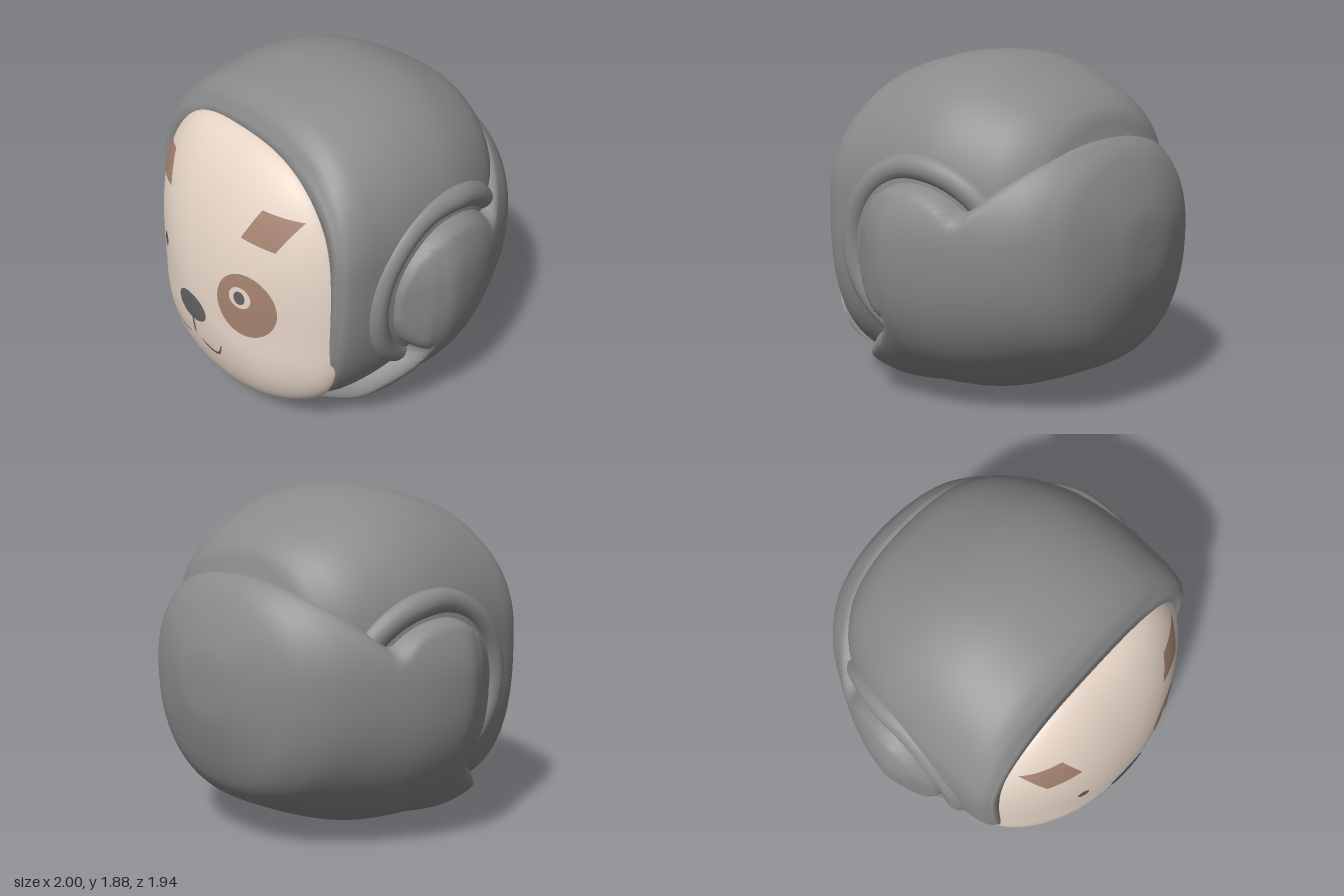
import * as THREE from 'three';
import { mergeVertices } from 'three/addons/utils/BufferGeometryUtils.js';

const { smoothstep, lerp, degToRad } = THREE.MathUtils;

const material = (name, color, side = THREE.FrontSide) => {
  const m = new THREE.MeshStandardMaterial({ color, side });
  m.name = name;
  return m;
};

// Smooth surface from a rule: i runs across the rings, j runs around each ring
function grid(n, m, rule) {
  const pos = [], index = [];
  for (let i = 0; i <= n; i++)
    for (let j = 0; j <= m; j++) pos.push(...rule(i / n, j / m));
  for (let i = 0; i < n; i++)
    for (let j = 0; j < m; j++) {
      const a = i * (m + 1) + j, b = a + 1, c = a + m + 1, d = c + 1;
      index.push(a, b, c, b, d, c);
    }
  let g = new THREE.BufferGeometry();
  g.setAttribute('position', new THREE.Float32BufferAttribute(pos, 3));
  g.setIndex(index);
  g = mergeVertices(g, 1e-5);
  g.computeVertexNormals();
  return g;
}

const spow = (v, p) => Math.sign(v) * Math.pow(Math.abs(v), p);

// Unit rounded-square point at turn t
function superPoint(t, pUp, pDown) {
  const c = Math.cos(t * Math.PI * 2), s = Math.sin(t * Math.PI * 2);
  const p = s > 0 ? pUp : pDown;
  return [spow(c, 2 / p), spow(s, 2 / p)];
}

// Loft along z through sections [z, halfWidth, top, bottom]
function loft(sections, cy, pUp, pDown, bend) {
  const zw = new THREE.SplineCurve(sections.map(s => new THREE.Vector2(s[0], s[1])));
  const tb = new THREE.SplineCurve(sections.map(s => new THREE.Vector2(s[2], s[3])));
  return grid((sections.length - 1) * 12, 160, (u, t) => {
    const a = zw.getPoint(u), h = tb.getPoint(u), [c, s] = superPoint(t, pUp, pDown(a.x));
    return bend(a.y * c, cy + s * (s > 0 ? h.x - cy : cy - h.y), a.x);
  });
}

// Face: height in z over its rounded outline
const FACE = { y: 0.7, w: 0.765, up: 0.945, down: 0.595, p: 2.75, rim: 0.6, depth: 0.365 };
function faceZ(x, y) {
  const u = x / FACE.w, v = (y - FACE.y) / (y > FACE.y ? FACE.up : FACE.down);
  const s = Math.min(1, (Math.abs(u) ** FACE.p + Math.abs(v) ** FACE.p) ** (1 / FACE.p));
  const w = v * v / (u * u + v * v + 1e-9);
  const e = 0.8 + ((v > 0 ? 0.6 : 0.3) - 0.8) * w;
  return FACE.rim + FACE.depth * Math.pow(Math.max(0, 1 - s * s), e);
}

// Painted patch following the face; outline(t) gives [x, y] anticlockwise
const patch = (cx, cy, outline, lift) => grid(8, 64, (u, t) => {
  const [ox, oy] = outline(t % 1), k = 1 - u;
  const x = cx + (ox - cx) * k, y = cy + (oy - cy) * k;
  return [x, y, faceZ(x, y) + lift];
});
const oval = (cx, cy, rx, ry, lift) => patch(cx, cy, t => {
  const a = t * Math.PI * 2;
  return [cx + rx * Math.cos(a), cy + ry * Math.sin(a)];
}, lift);
function quad(corners, lift) {
  const mid = k => corners.reduce((s, c) => s + c[k], 0) / 4;
  return patch(mid(0), mid(1), t => {
    const i = Math.floor(t * 4), f = t * 4 - i, a = corners[i], b = corners[(i + 1) % 4];
    return [a[0] + (b[0] - a[0]) * f, a[1] + (b[1] - a[1]) * f];
  }, lift);
}
// Thin painted line, tapered to both ends
function stroke(points, width, lift) {
  const curve = new THREE.SplineCurve(points.map(p => new THREE.Vector2(...p)));
  return grid(24, 1, (u, t) => {
    const p = curve.getPoint(u), d = curve.getTangent(u);
    const k = (t - 0.5) * width * (0.4 + 0.6 * Math.sin(u * Math.PI));
    const x = p.x - d.y * k, y = p.y + d.x * k;
    return [x, y, faceZ(x, y) + lift];
  });
}

// Side-on seam of the lower shell: a stepped line plus the round ear
const EAR = { z: -0.08, y: 0.85, r: 0.42 };
const SEAM = [[-0.8, 2.2], [-0.74, 1.5], [-0.42, 1.15], [0.16, 0.44], [0.55, 0.17], [0.7, 0.1]];
function seamY(z) {
  if (z <= SEAM[0][0]) return SEAM[0][1];
  for (let i = 1; i < SEAM.length; i++) {
    const [z0, y0] = SEAM[i - 1], [z1, y1] = SEAM[i];
    if (z <= z1) return y0 + (y1 - y0) * (z - z0) / (z1 - z0);
  }
  return 0.1;
}

export function createModel() {
  const model = new THREE.Group();
  const grey = material('grey', 0x8a8a8a);
  const darkGrey = material('darkGrey', 0x636363, THREE.DoubleSide);
  const cream = material('cream', 0xe6d5c7);
  const brown = material('brown', 0xa58270);
  const add = (name, geometry, mat) => {
    const mesh = new THREE.Mesh(geometry, mat);
    mesh.name = name;
    model.add(mesh);
  };

  // Hood, its front edge bowed forward at cheek height
  add('hood', loft([
    [-0.78, 0, 1.1, 1.1], [-0.77, 0.25, 1.3, 0.6], [-0.72, 0.42, 1.48, 0.4],
    [-0.66, 0.56, 1.61, 0.3], [-0.5, 0.71, 1.73, 0.2], [-0.2, 0.83, 1.86, 0.1],
    [0.1, 0.865, 1.89, 0.05], [0.4, 0.86, 1.83, 0.07], [0.52, 0.84, 1.765, 0.09],
    [0.57, 0.805, 1.69, 0.1], [0.585, 0.77, 1.63, 0.12], [0.56, 0.65, 1.5, 0.25],
    [0.5, 0, 1.1, 1.1],
  ], 1.1, 2.3, () => 2.9, (x, y, z) => {
    const bow = 0.05 * Math.max(0, 1 - ((y - 0.8) / 0.8) ** 2);
    return [x, y, z + bow * smoothstep(z, 0.3, 0.56)];
  }), grey);

  // Lower shell with round ears, tucked under the hood beyond its seam
  add('lowerShell', loft([
    [-0.965, 0, 0.92, 0.92], [-0.95, 0.2, 1.1, 0.7], [-0.87, 0.45, 1.32, 0.43],
    [-0.78, 0.6, 1.44, 0.28], [-0.62, 0.745, 1.52, 0.18], [-0.3, 0.925, 1.6, 0.05],
    [-0.04, 1, 1.62, 0.01], [0.1, 0.98, 1.6, 0.01], [0.2, 0.935, 1.58, 0.015],
    [0.3, 0.89, 1.55, 0.03], [0.45, 0.855, 1.5, 0.07], [0.57, 0.76, 1.4, 0.11],
    [0.61, 0.5, 1.2, 0.3], [0.6, 0, 0.92, 0.92],
  ], 0.92, 2.2, z => lerp(2.3, 3.6, smoothstep(z, 0, 0.4)), (x, y, z) => {
    const d = Math.min((y - seamY(z)) * 0.7, Math.hypot(z - EAR.z, y - EAR.y) - EAR.r);
    const m = smoothstep(d, -0.06, 0.06);
    return [x * (1 - 0.2 * m), 0.9 + (y - 0.9) * (1 - 0.08 * m), -0.1 + (z + 0.1) * (1 - 0.08 * m)];
  }), grey);

  // Raised rim around each ear
  for (const side of [1, -1]) {
    const points = [];
    for (let k = 0; k <= 20; k++) {
      const a = degToRad(150 - k * 10.4);
      const z = EAR.z + 0.475 * Math.cos(a), y = EAR.y + 0.475 * Math.sin(a);
      const width = 0.865 - 0.6 * Math.max(0, -0.1 - z) ** 1.5;
      const [v, p] = y > 1.1 ? [(y - 1.1) / 0.78, 2.3] : [(1.1 - y) / 1.04, 2.9];
      const x = width * Math.pow(1 - v ** p, 1 / p) - 0.042;
      points.push(new THREE.Vector3(side * x, y, z));
    }
    add(side > 0 ? 'leftEarRim' : 'rightEarRim',
      new THREE.TubeGeometry(new THREE.CatmullRomCurve3(points), 80, 0.072, 20), grey);
  }

  // Face
  add('face', grid(48, 128, (u, t) => {
    const [c, s] = superPoint(t, FACE.p, FACE.p), k = Math.sin((1 - u) * Math.PI / 2);
    const x = FACE.w * c * k, y = FACE.y + (s > 0 ? FACE.up : FACE.down) * s * k;
    return [x, y, faceZ(x, y)];
  }), cream);

  // Brows and eye patch
  add('rightBrow', quad([[-0.615, 1.375], [-0.535, 1.21], [-0.345, 1.23], [-0.415, 1.4]], 0.006), brown);
  add('leftBrow', quad([[0.39, 1.405], [0.315, 1.24], [0.51, 1.215], [0.595, 1.385]], 0.006), brown);
  add('eyePatch', oval(0.37, 0.855, 0.172, 0.19, 0.005), brown);

  // Eyes
  add('leftEyeRing', oval(0.345, 0.9, 0.064, 0.064, 0.007), cream);
  add('leftEye', oval(0.345, 0.9, 0.033, 0.04, 0.009), darkGrey);
  add('rightEye', oval(-0.36, 0.9, 0.032, 0.042, 0.006), darkGrey);

  // Nose and mouth
  add('nose', oval(-0.033, 0.662, 0.13, 0.085, 0.006), darkGrey);
  add('noseLine', stroke([[-0.035, 0.59], [-0.035, 0.53], [-0.036, 0.47]], 0.02, 0.006), darkGrey);
  add('mouthRight', stroke([[-0.26, 0.49], [-0.22, 0.44], [-0.16, 0.43], [-0.09, 0.445]], 0.01, 0.006), darkGrey);
  add('mouthLeft', stroke([[0.02, 0.455], [0.08, 0.43], [0.16, 0.435], [0.2, 0.51]], 0.018, 0.006), darkGrey);

  return model;
}
